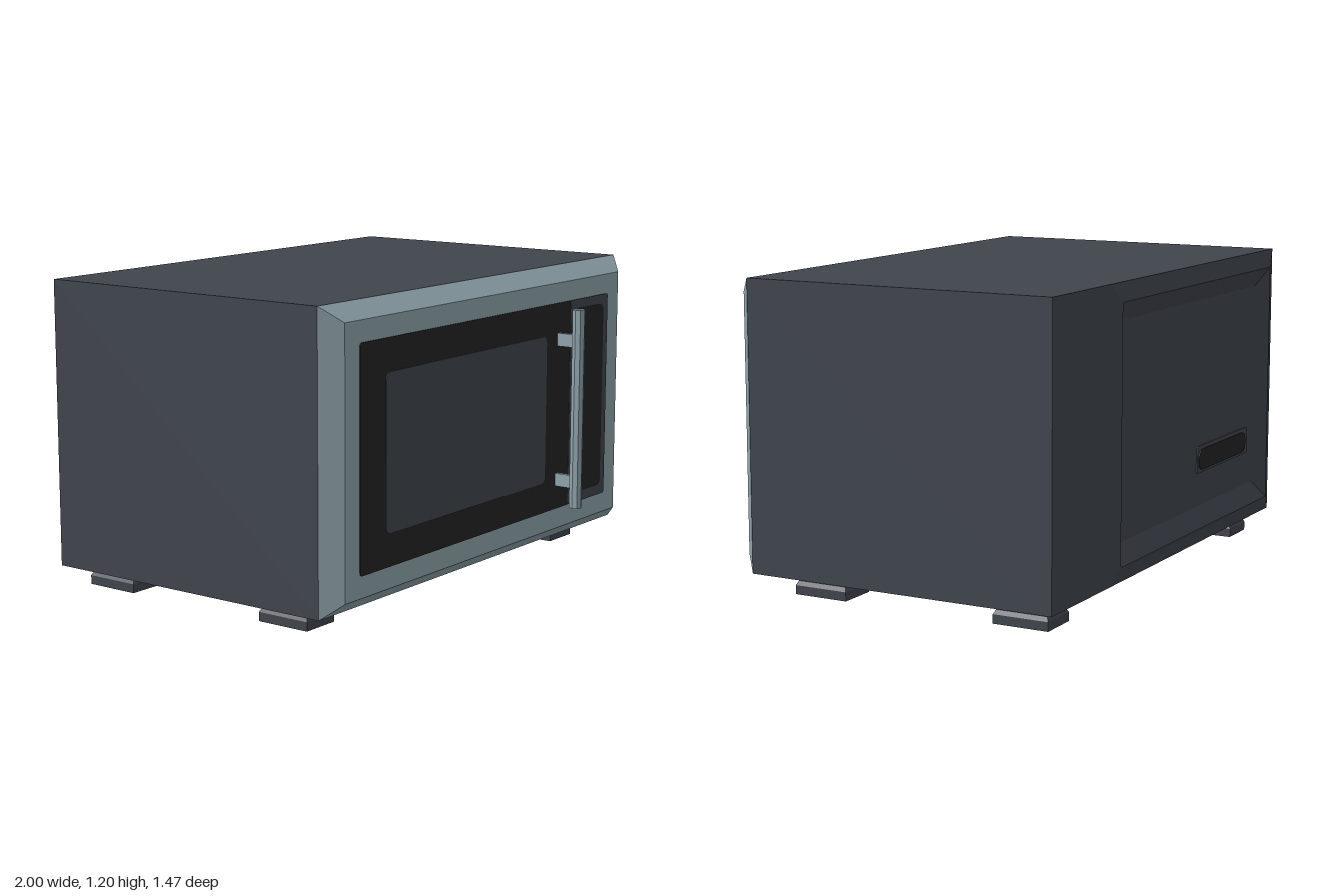
import * as THREE from 'three';

const mat = (name, color) => Object.assign(new THREE.MeshStandardMaterial({ color }), { name });

// Skin over rectangles [x0, x1, y0, y1, z] listed from -z to +z, with optional end caps
function loft(rects, startCap, endCap) {
  const pos = [];
  const loops = rects.map(([x0, x1, y0, y1, z]) => [[x0, y0, z], [x1, y0, z], [x1, y1, z], [x0, y1, z]]);
  const quad = (a, b, c, d) => pos.push(...a, ...b, ...c, ...a, ...c, ...d);
  for (let k = 0; k < loops.length - 1; k++) {
    for (let i = 0; i < 4; i++) {
      const j = (i + 1) % 4;
      quad(loops[k][i], loops[k][j], loops[k + 1][j], loops[k + 1][i]);
    }
  }
  if (startCap) quad(...loops[0].slice().reverse());
  if (endCap) quad(...loops[loops.length - 1]);
  const g = new THREE.BufferGeometry();
  g.setAttribute('position', new THREE.Float32BufferAttribute(pos, 3));
  g.computeVertexNormals();
  return g;
}

// Thin rounded plate facing +z, its back at z = 0
function plate(x0, x1, y0, y1, r, depth) {
  const s = new THREE.Shape();
  s.moveTo(x0 + r, y0);
  s.lineTo(x1 - r, y0);
  s.quadraticCurveTo(x1, y0, x1, y0 + r);
  s.lineTo(x1, y1 - r);
  s.quadraticCurveTo(x1, y1, x1 - r, y1);
  s.lineTo(x0 + r, y1);
  s.quadraticCurveTo(x0, y1, x0, y1 - r);
  s.lineTo(x0, y0 + r);
  s.quadraticCurveTo(x0, y0, x0 + r, y0);
  return new THREE.ExtrudeGeometry(s, { depth, bevelEnabled: false, curveSegments: 5 });
}

export function createModel() {
  const model = new THREE.Group();
  model.name = 'microwaveOven';
  const charcoal = mat('charcoal', 0x40454d);
  const steel = mat('steel', 0x8fa4ac);
  const black = mat('black', 0x242424);

  const add = (name, geometry, material, x = 0, y = 0, z = 0) => {
    const m = new THREE.Mesh(geometry, material);
    m.name = name;
    m.position.set(x, y, z);
    model.add(m);
    return m;
  };

  const bottom = 0.085, top = 1.2, back = -0.715, front = 0.55, face = 0.615;

  // Casing sides, flat strip at the rear and bevelled rear panel with a recess
  add('casing', loft([[-1, 1, bottom, top, back], [-1, 1, bottom, top, front]]), charcoal);
  add('rearStrip', loft([[0.56, 1, bottom, top, back]], true), charcoal);
  add('rearPanel', loft([
    [-0.86, 0.42, 0.225, 1.055, -0.695],
    [-0.93, 0.49, 0.15, 1.13, -0.735],
    [-1, 0.56, bottom, top, back],
  ], true), charcoal);

  // Rear vent
  add('ventFrame', plate(-0.79, -0.28, 0.36, 0.47, 0.005, 0.006), charcoal, 0, 0, -0.701);
  add('ventSlot', plate(-0.77, -0.29, 0.37, 0.455, 0.04, 0.004), black, 0, 0, -0.704);

  // Bevelled front frame
  add('frontFrame', loft([
    [-1, 1, bottom, top, front],
    [-0.93, 0.93, 0.14, 1.14, face],
  ], false, true), steel);

  // Door, window and control panel
  add('door', plate(-0.845, 0.56, 0.222, 1.06, 0.012, 0.003), black, 0, 0, face);
  add('window', plate(-0.695, 0.375, 0.345, 0.937, 0.03, 0.003), charcoal, 0, 0, face + 0.003);
  add('controlPanel', plate(0.555, 0.842, 0.222, 1.06, 0.012, 0.004), charcoal, 0, 0, face);
  add('controlDisplay', plate(0.59, 0.805, 0.263, 1.023, 0.03, 0.003), black, 0, 0, face + 0.004);

  // Handle bar on two brackets
  const bar = new THREE.CylinderGeometry(0.026, 0.026, 0.8, 8).toNonIndexed();
  bar.computeVertexNormals();
  add('handleBar', bar, steel, 0.466, 0.64, 0.709);
  for (const y of [0.344, 0.914]) {
    add('handleBracket', new THREE.BoxGeometry(0.018, 0.052, 0.09), steel, 0.466, y, 0.655);
  }

  // Stepped feet
  const foot = loft([
    [-0.08, 0.08, -0.112, 0.112, 0],
    [-0.08, 0.08, -0.112, 0.112, 0.035],
    [-0.07, 0.07, -0.104, 0.104, 0.05],
    [-0.07, 0.07, -0.104, 0.104, 0.09],
  ], true, true).rotateX(-Math.PI / 2);
  for (const x of [-0.825, 0.825]) {
    for (const z of [0.31, -0.54]) add('foot', foot, charcoal, x, 0, z);
  }

  return model;
}
